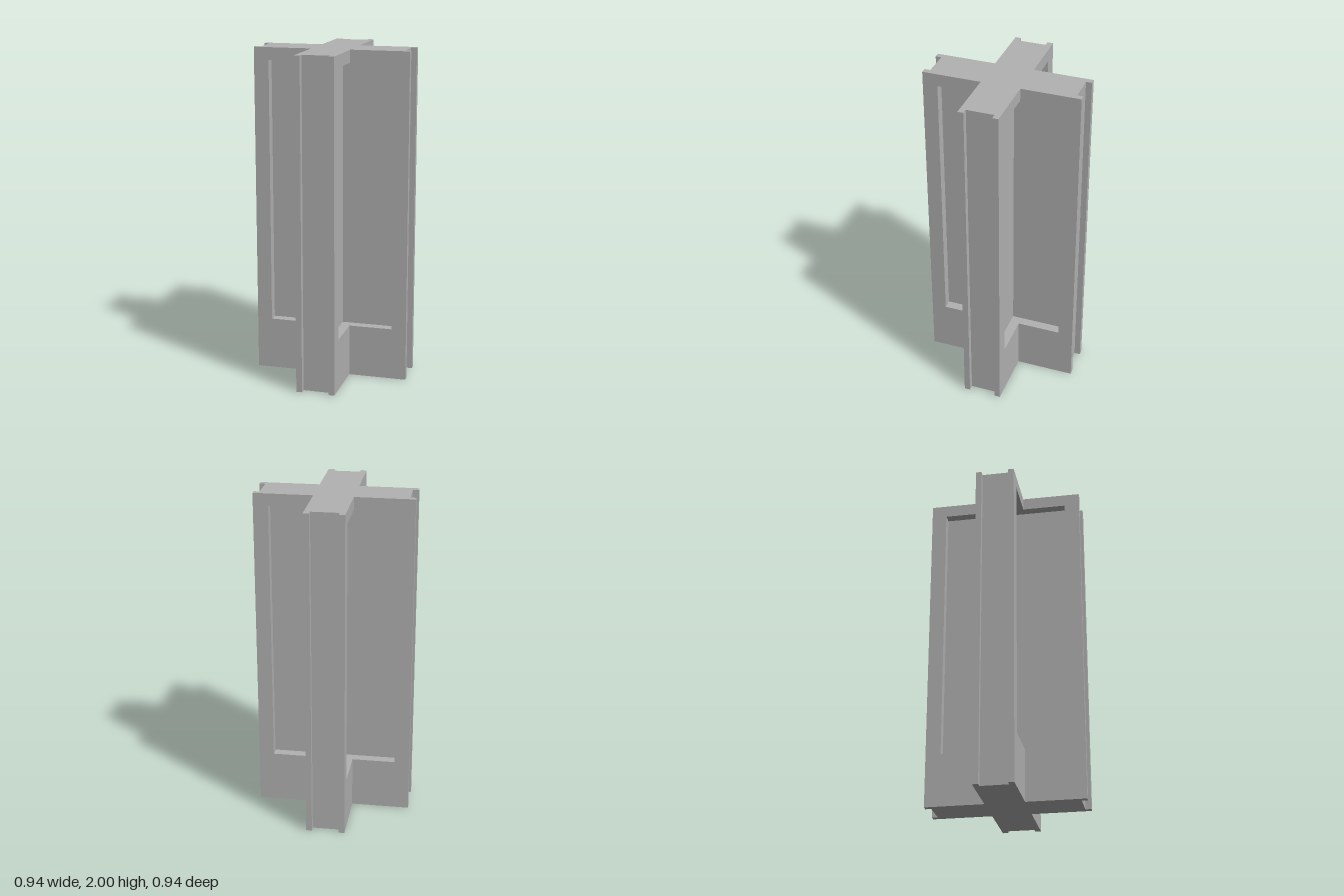
import * as THREE from 'three';

const ARM = 0.47;      // arm reach from the centre
const HALF = 0.117;    // half arm thickness
const LIP = 0.035;     // lip width either side of the end groove
const GROOVE = 0.435;  // groove floor, from the centre
const PANEL = 0.38;    // outer edge of the corner recess
const CORE = 0.06;     // half arm thickness inside the recess

// Cross-shaped outline: one arm and inner corner, turned four times
function crossShape(recessed) {
  const inner = HALF - LIP;
  const arm = [[ARM, -HALF], [ARM, -inner], [GROOVE, -inner], [GROOVE, inner], [ARM, inner], [ARM, HALF]];
  const corner = recessed
    ? [[PANEL, HALF], [PANEL, CORE], [CORE, CORE], [CORE, PANEL], [HALF, PANEL]]
    : [[HALF, HALF]];
  const points = [];
  for (let i = 0; i < 4; i++) {
    for (let [x, y] of [...arm, ...corner]) {
      for (let k = 0; k < i; k++) [x, y] = [-y, x];
      points.push(new THREE.Vector2(x, y));
    }
  }
  return new THREE.Shape(points);
}

export function createModel() {
  const group = new THREE.Group();
  group.name = 'crossColumn';
  const grey = new THREE.MeshStandardMaterial({ color: 0xb2b2b2 });
  grey.name = 'grey';

  // Upright section between two heights
  function addSection(name, bottom, top, recessed) {
    const geometry = new THREE.ExtrudeGeometry(crossShape(recessed), { depth: top - bottom, bevelEnabled: false });
    geometry.rotateX(-Math.PI / 2);
    geometry.translate(0, bottom, 0);
    const mesh = new THREE.Mesh(geometry, grey);
    mesh.name = name;
    group.add(mesh);
  }

  addSection('base', 0, 0.317, false);
  addSection('recessedShaft', 0.317, 1.925, true);
  addSection('cap', 1.925, 2, false);
  return group;
}
